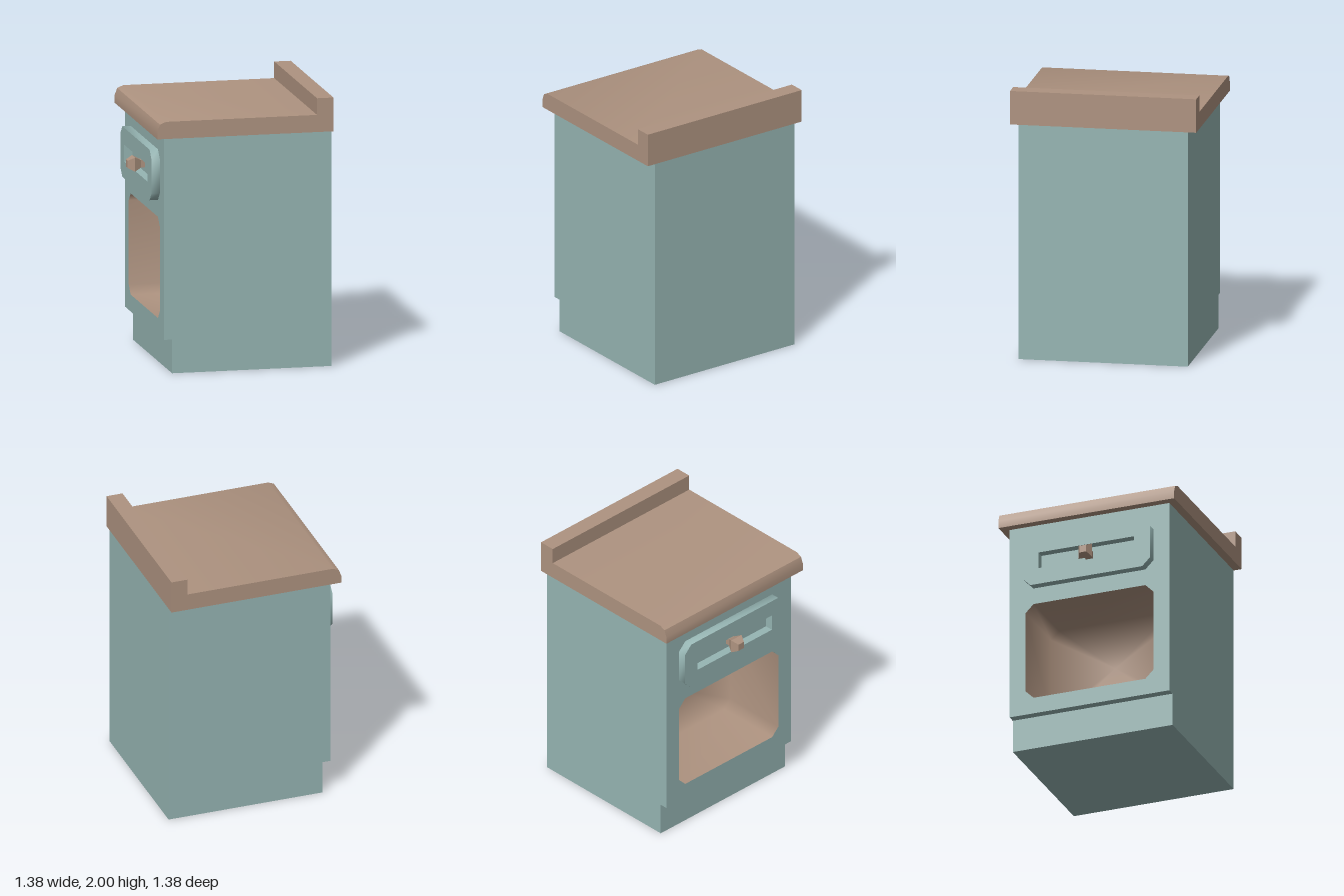
import * as THREE from 'three';
import { toCreasedNormals } from 'three/addons/utils/BufferGeometryUtils.js';

const paint = new THREE.MeshStandardMaterial({ color: 0x96b5b3 });
paint.name = 'blueGreenPaint';
const wood = new THREE.MeshStandardMaterial({ color: 0xae9380 });
wood.name = 'brownWood';

const FRONT = -0.5625; // x of the cabinet face, which looks along -x
const BACK = 0.6875;
const HALF = 0.625;

// Rectangle with cut corners, counter-clockwise, in (z, y)
function cutRect(w, y0, y1, c) {
  return [
    [-w + c, y0], [w - c, y0], [w, y0 + c], [w, y1 - c],
    [w - c, y1], [-w + c, y1], [-w, y1 - c], [-w, y0 + c],
  ].map(([z, y]) => new THREE.Vector2(z, y));
}

function rect(w, y0, y1) {
  return [[-w, y0], [w, y0], [w, y1], [-w, y1]].map(([z, y]) => new THREE.Vector2(z, y));
}

function withHole(outer, hole) {
  const shape = new THREE.Shape(outer);
  shape.holes.push(new THREE.Path(hole));
  return shape;
}

// Profile in (x, y) extruded along z, centred
function sideProfile(points, halfWidth) {
  const shape = new THREE.Shape(points.map(([x, y]) => new THREE.Vector2(x, y)));
  return new THREE.ExtrudeGeometry(shape, { depth: halfWidth * 2, bevelEnabled: false })
    .translate(0, 0, -halfWidth);
}

// Carcass with toe kick; the face plane is left open for the pierced front
function carcassGeometry() {
  const solid = sideProfile([
    [FRONT, 0.25], [-0.5, 0.25], [-0.5, 0], [BACK, 0], [BACK, 1.75], [FRONT, 1.75],
  ], HALF);
  const p = solid.attributes.position;
  const kept = [];
  for (let i = 0; i < p.count; i += 3) {
    const corners = [i, i + 1, i + 2];
    if (corners.every((k) => Math.abs(p.getX(k) - FRONT) < 1e-4)) continue;
    corners.forEach((k) => kept.push(p.getX(k), p.getY(k), p.getZ(k)));
  }
  const g = new THREE.BufferGeometry();
  g.setAttribute('position', new THREE.Float32BufferAttribute(kept, 3));
  g.computeVertexNormals();
  return g;
}

// Open-fronted tray with soft shading, facing inward
function linerGeometry(outline, depth) {
  const n = outline.length;
  const pos = [];
  const index = [];
  for (const x of [FRONT, FRONT + depth]) outline.forEach((v) => pos.push(x, v.y, v.x));
  pos.push(FRONT + depth, 0.75, 0);
  for (let i = 0; i < n; i++) {
    const j = (i + 1) % n;
    index.push(i, j, n + j, i, n + j, n + i, 2 * n, n + i, n + j);
  }
  const g = new THREE.BufferGeometry();
  g.setAttribute('position', new THREE.Float32BufferAttribute(pos, 3));
  g.setIndex(index);
  g.computeVertexNormals();
  return g;
}

export function createModel() {
  const model = new THREE.Group();
  model.name = 'cabinet';
  const add = (name, geometry, material) => {
    const mesh = new THREE.Mesh(geometry, material);
    mesh.name = name;
    model.add(mesh);
    return mesh;
  };

  // Cabinet body and its open compartment
  const opening = cutRect(0.5, 0.375, 1.125, 0.0625);
  add('carcass', carcassGeometry(), paint);
  add('frontFrame', new THREE.ShapeGeometry(withHole(rect(HALF, 0.25, 1.75), opening))
    .rotateY(-Math.PI / 2).translate(FRONT, 0, 0), paint);
  add('compartmentLiner', linerGeometry(opening, 0.5), wood);

  // Drawer front with a recessed slot
  const drawer = new THREE.ExtrudeGeometry(
    withHole(cutRect(0.5, 1.25, 1.625, 0.0625), rect(0.375, 1.375, 1.5)),
    { depth: 0.0625, bevelEnabled: false },
  ).rotateY(-Math.PI / 2).translate(FRONT, 0, 0);
  add('drawerFront', toCreasedNormals(drawer, 1), paint);

  // Faceted square knob: square rings along x, sized by half-width
  const r = Math.SQRT2;
  const knob = new THREE.LatheGeometry([
    [0, 0], [0.027, 0], [0.027, 0.03], [0.052, 0.08], [0.027, 0.13], [0, 0.13],
  ].map(([h, y]) => new THREE.Vector2(h * r, y)), 4)
    .rotateY(Math.PI / 4).rotateZ(Math.PI / 2).translate(FRONT, 1.4375, 0);
  const flatKnob = knob.toNonIndexed();
  flatKnob.computeVertexNormals();
  add('drawerKnob', flatKnob, wood);

  // Worktop with rounded front edge and raised back ledge
  const top = sideProfile([
    [-0.625, 1.75], [BACK, 1.75], [BACK, 2], [0.565, 2], [0.565, 1.877],
    [-0.56, 1.877], [-0.605, 1.858], [-0.625, 1.805],
  ], 0.6875);
  add('worktop', toCreasedNormals(top, 0.7), wood);

  return model;
}
